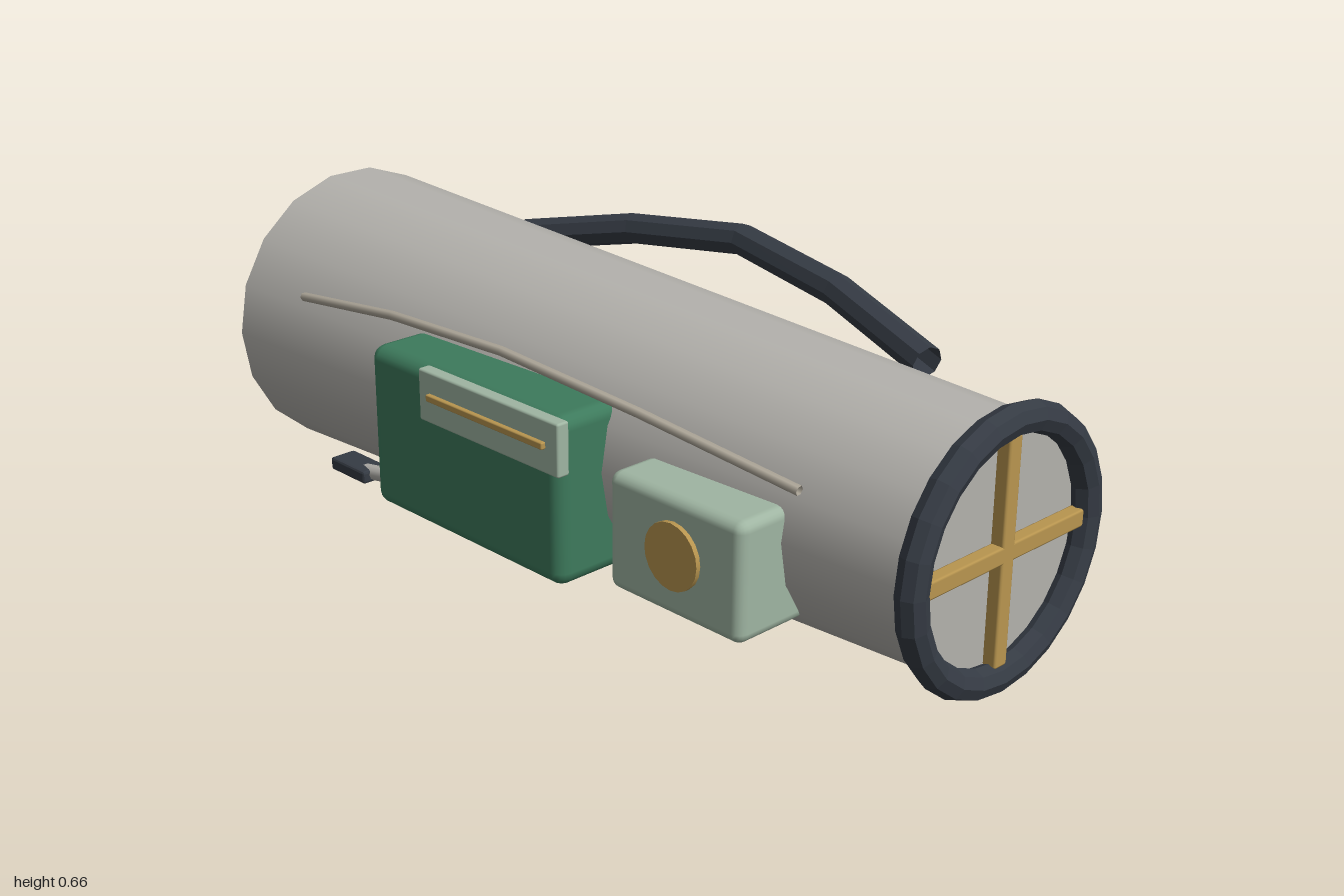
import * as THREE from 'three';
import { RoundedBoxGeometry } from 'three/addons/geometries/RoundedBoxGeometry.js';

const AXIS_Y = 0.338;

function material(name, color, options = {}) {
  const m = new THREE.MeshStandardMaterial({ color, ...options });
  m.name = name;
  return m;
}

export function createModel() {
  const group = new THREE.Group();
  const shell = material('warm grey shell', 0xb3b1ac);
  const dark = material('charcoal rubber', 0x353b44, { flatShading: true, side: THREE.DoubleSide });
  const green = material('deep green', 0x3d7a5c);
  const pale = material('pale green', 0x9fb5a2);
  const brass = material('brass', 0xb8954f);
  const wire = material('beige metal', 0xb0a99b, { side: THREE.DoubleSide });
  const shadeGrey = material('dark grey', 0x7c7b78);

  const add = (name, geometry, mat, x = 0, y = 0, z = 0) => {
    const mesh = new THREE.Mesh(geometry, mat);
    mesh.name = name;
    mesh.position.set(x, y, z);
    group.add(mesh);
    return mesh;
  };
  const box = (name, mat, [x0, x1], [y0, y1], [z0, z1], radius) =>
    add(name, new RoundedBoxGeometry(x1 - x0, y1 - y0, z1 - z0, 2, radius), mat,
      (x0 + x1) / 2, (y0 + y1) / 2, (z0 + z1) / 2);

  // Tapered tube lying along x, closed at both ends
  const body = new THREE.CylinderGeometry(0.252, 0.33, 1.925, 18);
  body.rotateZ(-Math.PI / 2);
  add('body', body, shell, -0.0095, AXIS_Y, 0);

  // End rings
  const ring = (name, x, radius, tube) =>
    add(name, new THREE.TorusGeometry(radius, tube, 8, 24).rotateY(Math.PI / 2), dark, x, AXIS_Y, 0);
  ring('frontRing', 0.967, 0.255, 0.031);
  ring('rearRing', -0.974, 0.24, 0.025);

  // Rear cover disc
  add('rearDisc', new THREE.CylinderGeometry(0.235, 0.235, 0.008, 24).rotateZ(Math.PI / 2),
    shadeGrey, -0.975, AXIS_Y, 0);

  // Cross bars over the front opening
  add('verticalCrossBar', new RoundedBoxGeometry(0.03, 0.46, 0.036, 1, 0.005), brass, 0.967, AXIS_Y, 0);
  add('horizontalCrossBar', new RoundedBoxGeometry(0.03, 0.036, 0.46, 1, 0.005), brass, 0.967, AXIS_Y, 0);

  // Side housings
  box('mainHousing', green, [-0.39, 0.21], [0.118, 0.478], [0.13, 0.393], 0.03);
  box('smallHousing', pale, [0.32, 0.67], [0.16, 0.405], [0.14, 0.368], 0.022);

  // Label plate with brass strip, and round dial
  box('plate', pale, [-0.19, 0.235], [0.373, 0.485], [0.387, 0.417], 0.005);
  box('plateStrip', brass, [-0.155, 0.2], [0.425, 0.44], [0.416, 0.428], 0.003);
  add('dial', new THREE.CylinderGeometry(0.068, 0.068, 0.01, 20).rotateX(Math.PI / 2),
    brass, 0.52, 0.303, 0.393);

  // Carry handle and side wire follow short bent paths
  const bent = (name, points, segments, radius, sides, mat) => {
    const path = new THREE.CatmullRomCurve3(points.map((p) => new THREE.Vector3(...p)));
    add(name, new THREE.TubeGeometry(path, segments, radius, sides), mat);
  };
  bent('handle', [
    [-0.67, 0.515, -0.292], [-0.37, 0.58, -0.358], [-0.06, 0.615, -0.392],
    [0.25, 0.58, -0.355], [0.55, 0.515, -0.288],
  ], 4, 0.036, 8, dark);
  bent('sideWire', [
    [-0.74, 0.478, 0.308], [-0.4, 0.53, 0.338], [-0.04, 0.556, 0.355],
    [0.34, 0.53, 0.338], [0.74, 0.475, 0.297],
  ], 4, 0.01, 6, wire);

  // Pair of slanted legs with feet
  for (const side of [1, -1]) {
    const prefix = side > 0 ? 'front' : 'back';
    const from = new THREE.Vector3(-0.73, 0.021, side * 0.18);
    const to = new THREE.Vector3(-0.15, 0.128, side * 0.18);
    const dir = to.clone().sub(from);
    const leg = add(prefix + 'Leg', new THREE.CylinderGeometry(0.018, 0.018, dir.length(), 10), shell);
    leg.position.copy(from).add(to).multiplyScalar(0.5);
    leg.quaternion.setFromUnitVectors(new THREE.Vector3(0, 1, 0), dir.normalize());
    add(prefix + 'Foot', new RoundedBoxGeometry(0.13, 0.031, 0.067, 1, 0.006), dark,
      -0.745, 0.025, side * 0.18);
  }
  return group;
}
